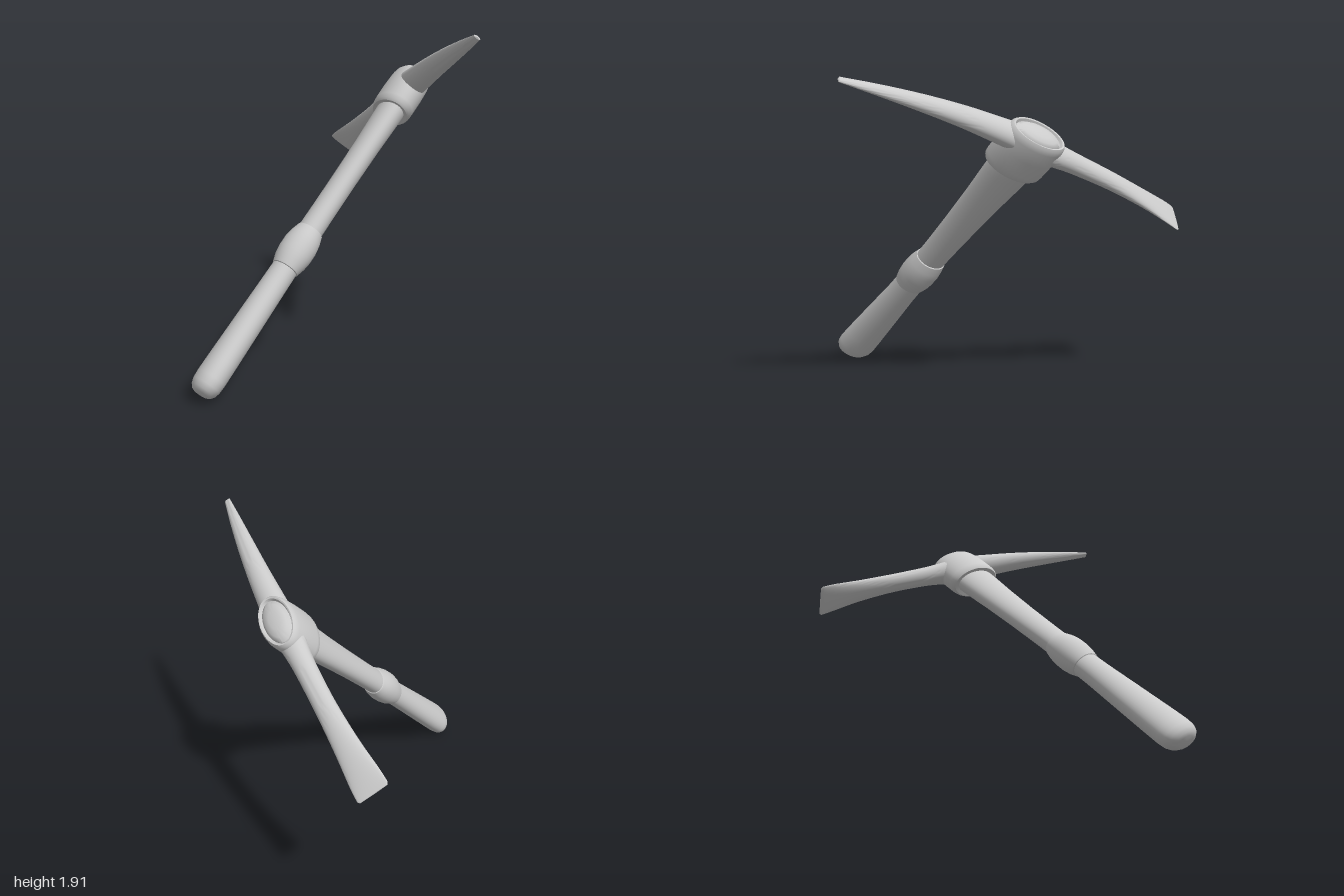
import * as THREE from 'three';
import { toCreasedNormals } from 'three/addons/utils/BufferGeometryUtils.js';

const SIDES = 40;

// Skin oval rings; each section is [position, offset, half width, half depth].
// place(t, offset, p, q) turns ring values into a point.
function loft(sections, place, crease) {
  const pos = [], index = [];
  const last = sections.length - 1;
  sections.forEach(([t, off, a, b], i) => {
    for (let j = 0; j < SIDES; j++) {
      const th = (j / SIDES) * Math.PI * 2;
      pos.push(...place(t, off, a * Math.cos(th), b * Math.sin(th)));
      if (i === last) continue;
      const k = (j + 1) % SIDES, r = i * SIDES, n = r + SIDES;
      index.push(r + j, n + j, n + k, r + j, n + k, r + k);
    }
  });
  const g = new THREE.BufferGeometry();
  g.setAttribute('position', new THREE.Float32BufferAttribute(pos, 3));
  g.setIndex(index);
  return toCreasedNormals(g, crease);
}

// Smoothly interpolate a few key sections
function smooth(keys, n) {
  const line = new THREE.CatmullRomCurve3(keys.map(k => new THREE.Vector3(k[0], k[1], 0)), false, 'catmullrom');
  const size = new THREE.CatmullRomCurve3(keys.map(k => new THREE.Vector3(k[2], k[3], 0)), false, 'catmullrom');
  return Array.from({ length: n + 1 }, (_, i) => {
    const p = line.getPoint(i / n), s = size.getPoint(i / n);
    return [p.x, p.y, s.x, s.y];
  });
}

const upright = (t, off, p, q) => [p, t, q];      // rings stacked along the handle
const sideways = (t, off, p, q) => [t, off + q, p]; // rings along the head

export function createModel() {
  const model = new THREE.Group();
  const material = new THREE.MeshStandardMaterial({ color: 0xcccccc });
  const add = (name, sections, place, crease = 0.6) => {
    const mesh = new THREE.Mesh(loft(sections, place, crease), material);
    mesh.name = name;
    model.add(mesh);
  };
  const E = 0.0005; // closed end

  // Handle: rounded butt, waist under the grip band, swelling into the head
  add('handle', [
    [-0.955, 0, E, E], [-0.953, 0, 0.05, 0.035], [-0.945, 0, 0.08, 0.055], [-0.925, 0, 0.105, 0.072],
    [-0.895, 0, 0.12, 0.081], [-0.85, 0, 0.124, 0.084], [-0.75, 0, 0.12, 0.083], [-0.5, 0, 0.107, 0.079],
    [-0.25, 0, 0.093, 0.075], [0, 0, 0.088, 0.072], [0.25, 0, 0.094, 0.07], [0.5, 0, 0.104, 0.07],
    [0.75, 0, 0.118, 0.073], [0.95, 0, 0.133, 0.079], [1.24, 0, 0.145, 0.085],
    [1.278, 0, 0.14, 0.082], [1.295, 0, 0.11, 0.064], [1.303, 0, 0.06, 0.035], [1.305, 0, E, E],
  ], upright, 0.9);

  // Bulging grip band
  add('gripBand', [
    [-0.135, 0, 0.085, 0.07], [-0.13, 0, 0.096, 0.079], [-0.08, 0, 0.107, 0.093], [-0.03, 0, 0.112, 0.1],
    [0.03, 0, 0.112, 0.1], [0.08, 0, 0.107, 0.092], [0.13, 0, 0.096, 0.077], [0.135, 0, 0.085, 0.066],
  ], upright);

  // Oval socket with a lipped eye
  add('socket', [
    [1.02, 0, 0.13, 0.075], [1.015, 0, 0.165, 0.103], [1.03, 0, 0.176, 0.113], [1.06, 0, 0.18, 0.116],
    [1.16, 0, 0.181, 0.117], [1.25, 0, 0.177, 0.113], [1.278, 0, 0.171, 0.107],
    [1.292, 0, 0.16, 0.098], [1.29, 0, 0.15, 0.09], [1.27, 0, 0.14, 0.08],
  ], upright);

  // Pointed pick arm, drooping towards the tip
  add('pickArm', [
    ...smooth([
      [0.08, 1.21, 0.088, 0.07], [0.2, 1.208, 0.08, 0.064], [0.42, 1.2, 0.067, 0.052],
      [0.65, 1.178, 0.053, 0.039], [0.87, 1.148, 0.037, 0.024], [1.07, 1.115, 0.019, 0.008],
    ], 30),
    [1.076, 1.114, E, E],
  ], sideways);

  // Flat blade arm, flaring to a wide thin edge
  add('bladeArm', [
    [-1.1, 1.118, E, E], [-1.098, 1.118, 0.088, 0.004],
    ...smooth([
      [-1.085, 1.12, 0.098, 0.007], [-1.0, 1.135, 0.094, 0.016], [-0.8, 1.163, 0.075, 0.031],
      [-0.55, 1.187, 0.063, 0.044], [-0.3, 1.198, 0.064, 0.054], [-0.17, 1.2, 0.074, 0.062], [-0.08, 1.2, 0.085, 0.068],
    ], 30),
  ], sideways);

  // Lean the whole tool, pivoting about the grip band
  const up = new THREE.Vector3(0.593, 0.697, -0.403).normalize();
  const along = new THREE.Vector3(0.15, 0.386, 0.91);
  along.addScaledVector(up, -along.dot(up)).normalize();
  const across = new THREE.Vector3().crossVectors(along, up);
  model.quaternion.setFromRotationMatrix(new THREE.Matrix4().makeBasis(along, up, across));
  model.position.set(-0.13, 0.715, 0.465);

  const root = new THREE.Group();
  root.name = 'pickaxe';
  model.name = 'tiltedTool';
  root.add(model);
  return root;
}
